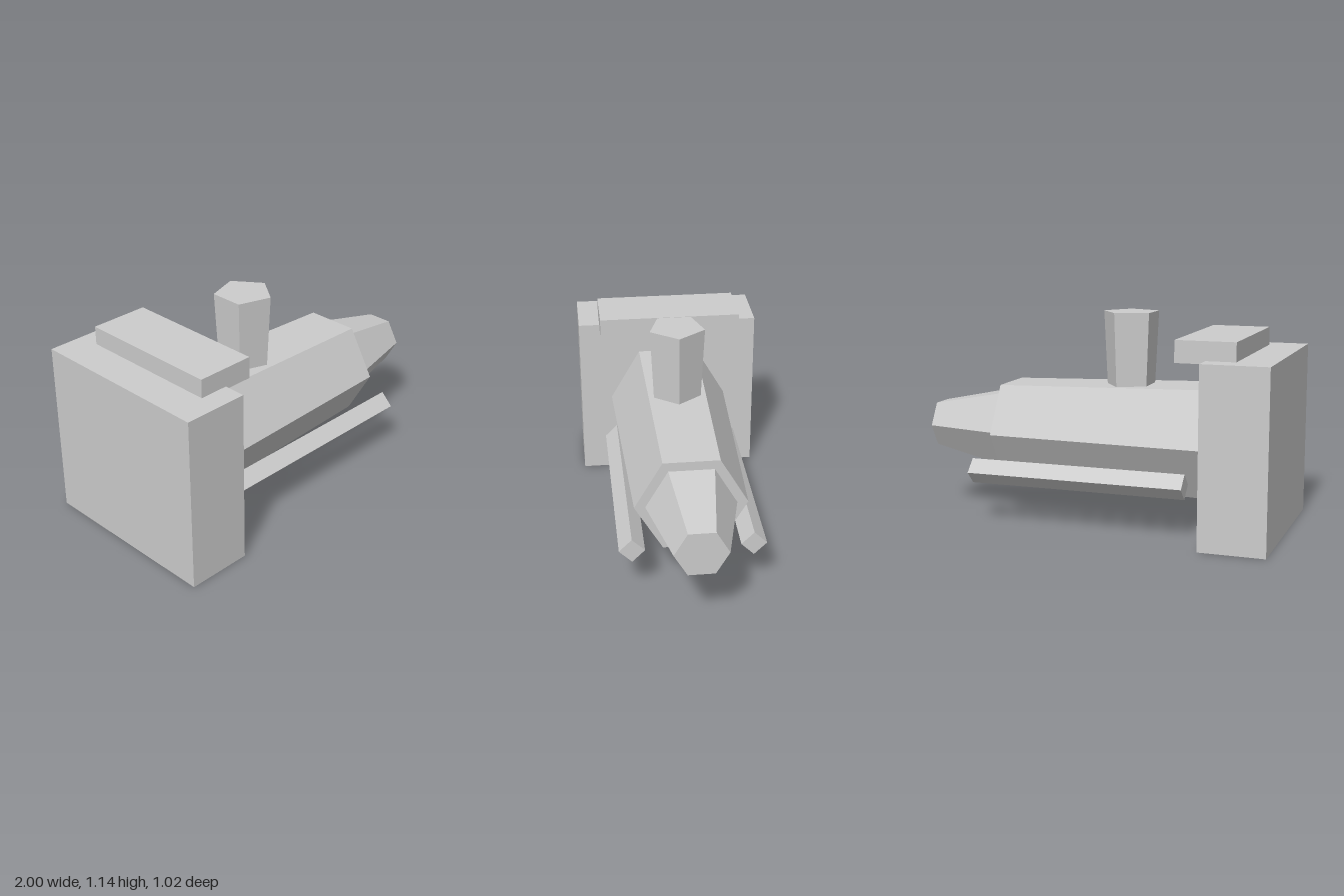
import * as THREE from 'three';

export function createModel() {
  const model = new THREE.Group();
  const grey = new THREE.MeshStandardMaterial({ color: 0xcccccc, flatShading: true });
  grey.name = 'light grey';

  const add = (name, geometry, x, y, z) => {
    const mesh = new THREE.Mesh(geometry, grey);
    mesh.name = name;
    mesh.position.set(x, y, z);
    model.add(mesh);
    return mesh;
  };

  // Tapered prism lying along x, with a corner pointing to +z
  const prismX = (name, x0, x1, r0, r1, sides, y, z) => {
    const geometry = new THREE.CylinderGeometry(r1, r0, x1 - x0, sides);
    geometry.rotateZ(-Math.PI / 2);
    return add(name, geometry, (x0 + x1) / 2, y, z);
  };

  // Rear block and the plate lying over its top edge
  add('rearBlock', new THREE.BoxGeometry(0.35, 0.942, 1.02), -0.825, 0.471, 0);
  add('topPlate', new THREE.BoxGeometry(0.315, 0.115, 0.785), -0.649, 0.983, 0);

  // Hexagonal barrel and stepped nose
  const axisY = 0.473;
  prismX('barrel', -0.65, 0.567, 0.333, 0.293, 6, axisY, 0);
  prismX('nose', 0.567, 1, 0.236, 0.137, 6, axisY, 0);

  // Square side rails turned on edge
  for (const [name, side] of [['leftRail', -1], ['rightRail', 1]]) {
    prismX(name, -0.53, 0.662, 0.067, 0.067, 4, 0.277, side * 0.314);
  }

  // Five-sided post flaring upward, one corner toward the nose
  add('post', new THREE.CylinderGeometry(0.155, 0.135, 0.395, 5, 1, false, Math.PI / 2), -0.14, 0.9425, 0);

  return model;
}
